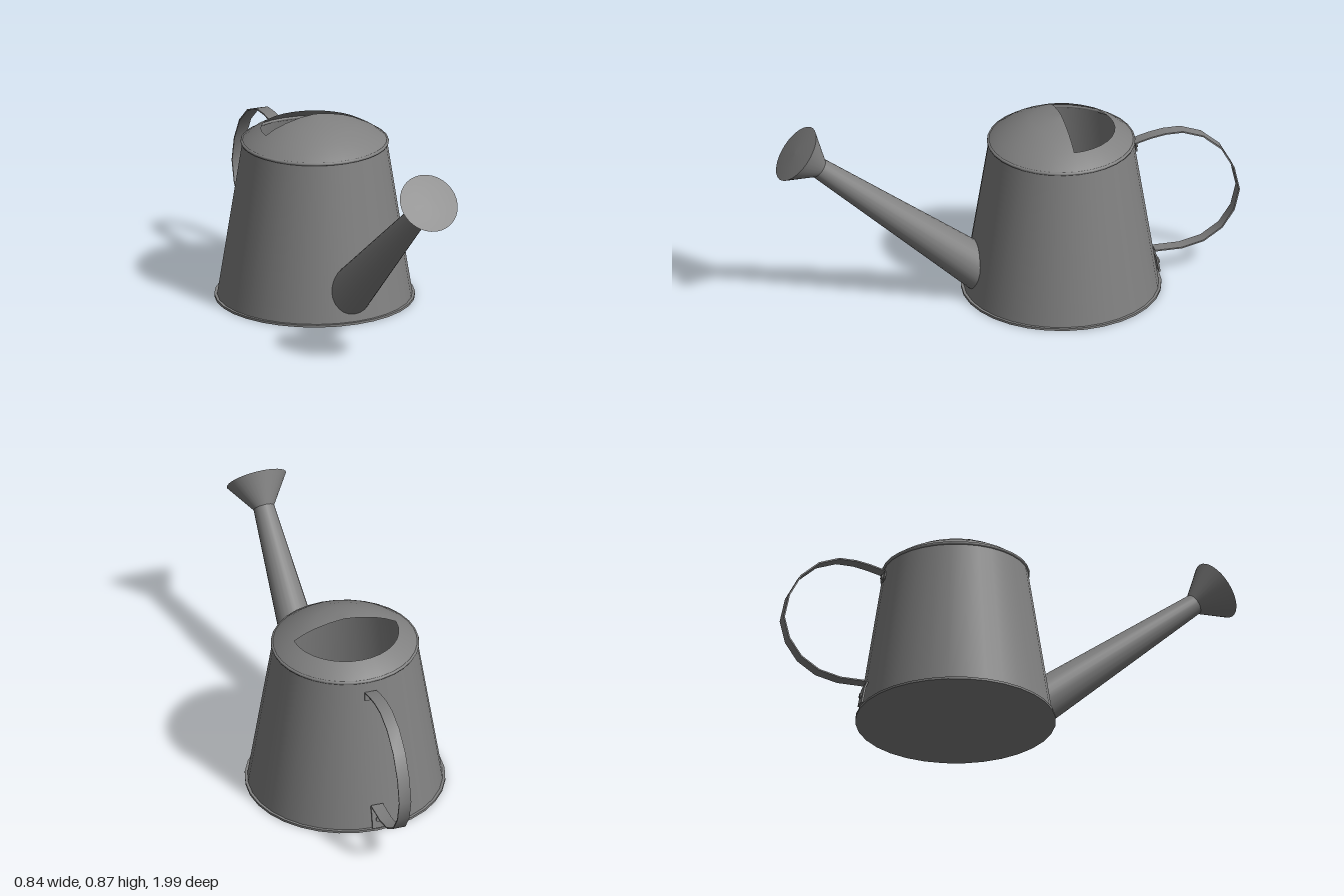
import * as THREE from 'three';
import { toCreasedNormals } from 'three/addons/utils/BufferGeometryUtils.js';

const SEGMENTS = 32;
const CAN_Z = -0.23; // centre line of the can

export function createModel() {
  const model = new THREE.Group();
  model.name = 'wateringCan';
  const metal = new THREE.MeshStandardMaterial({ color: 0x808080, side: THREE.DoubleSide });
  metal.name = 'grey metal';

  const add = (name, geometry, parent, x = 0, y = 0, z = 0) => {
    const mesh = new THREE.Mesh(geometry, metal);
    mesh.name = name;
    mesh.position.set(x, y, z);
    parent.add(mesh);
    return mesh;
  };
  const vectors = (list) => list.map(([a, b]) => new THREE.Vector2(a, b));

  // Tapered can with its base and rims
  const can = new THREE.Group();
  can.name = 'can';
  can.position.z = CAN_Z;
  model.add(can);
  add('body', new THREE.CylinderGeometry(0.303, 0.41, 0.68, SEGMENTS, 1, true), can, 0, 0.34, 0);
  add('base', new THREE.CylinderGeometry(0.42, 0.42, 0.01, SEGMENTS), can, 0, 0.005, 0);
  const rim = new THREE.TorusGeometry(0.304, 0.007, 8, SEGMENTS).rotateX(Math.PI / 2);
  add('topRim', rim, can, 0, 0.681, 0);

  // Lid: full dome over the front half, only a sloping collar behind
  const collar = [[0.305, 0.685], [0.27, 0.712], [0.225, 0.737]];
  const crown = [[0.18, 0.76], [0.13, 0.778], [0.065, 0.793], [0, 0.8]];
  add('frontDome', new THREE.LatheGeometry(vectors([...collar, ...crown]), SEGMENTS / 2, -Math.PI / 2, Math.PI), can);
  add('backCollar', new THREE.LatheGeometry(vectors(collar), SEGMENTS / 2, Math.PI / 2, Math.PI), can);

  // Spout group: local y runs along the spout, origin at its narrow end
  const spout = new THREE.Group();
  spout.name = 'spout';
  spout.position.set(0, 0.69, 0.82);
  spout.rotation.x = Math.atan2(0.776, 0.63);
  model.add(spout);
  add('spoutTube', new THREE.CylinderGeometry(0.044, 0.098, 0.95, 24, 1, true), spout, 0, -0.475, 0);
  add('roseCone', new THREE.LatheGeometry(vectors([[0.044, -0.005], [0.128, 0.12]]), SEGMENTS), spout);
  add('roseFace', new THREE.LatheGeometry(vectors([[0.128, 0.12], [0.07, 0.126], [0, 0.128]]), SEGMENTS), spout);

  // Flat strip following a path of [z, y] points, extruded across x
  const strip = (path, thickness, width) => {
    const pts = vectors(path);
    const inner = pts.map((p, i) => {
      const a = pts[Math.max(i - 1, 0)];
      const b = pts[Math.min(i + 1, pts.length - 1)];
      const d = b.clone().sub(a).normalize();
      return new THREE.Vector2(p.x - d.y * thickness, p.y + d.x * thickness);
    });
    const geometry = new THREE.ExtrudeGeometry(new THREE.Shape([...pts, ...inner.reverse()]), {
      depth: width, bevelEnabled: false,
    });
    geometry.rotateY(-Math.PI / 2).translate(width / 2, 0, 0);
    return toCreasedNormals(geometry, 0.6);
  };

  // Handle loop with tabs lying against the can
  const handle = new THREE.Group();
  handle.name = 'handle';
  handle.position.x = -0.004;
  model.add(handle);
  add('handleStrip', strip([
    [-0.548, 0.597], [-0.545, 0.635], [-0.575, 0.645], [-0.615, 0.655], [-0.675, 0.665],
    [-0.75, 0.665], [-0.84, 0.632], [-0.92, 0.562], [-0.973, 0.465], [-0.996, 0.36],
    [-0.973, 0.265], [-0.92, 0.187], [-0.84, 0.134], [-0.745, 0.112], [-0.63, 0.112],
  ], 0.006, 0.053), handle);
  add('lowerTab', strip([
    [-0.63, 0.112], [-0.641, 0.085], [-0.654, 0.015],
  ], 0.008, 0.053), handle);

  // Rivets through the tabs
  for (const [name, y, z] of [['upperRivet', 0.615, -0.553], ['lowerRivet', 0.055, -0.648]]) {
    const rivet = add(name, new THREE.CylinderGeometry(0.011, 0.011, 0.012, 12), handle, 0, y, z);
    rivet.rotation.x = Math.PI / 2 + 0.15;
  }
  return model;
}
